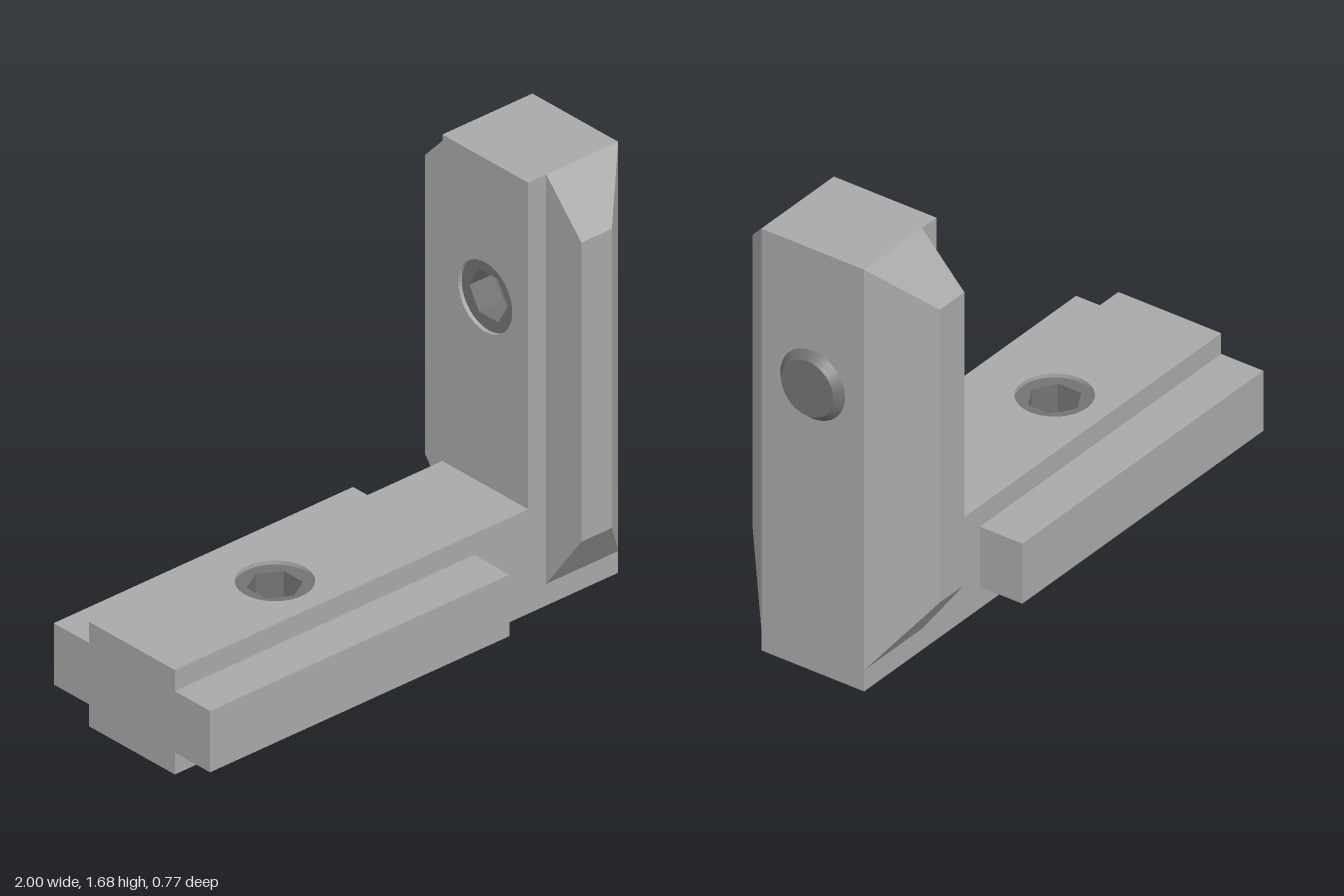
import * as THREE from 'three';
import { mergeGeometries } from 'three/addons/utils/BufferGeometryUtils.js';
import { ConvexGeometry } from 'three/addons/geometries/ConvexGeometry.js';

const HALF = 0.212;   // half depth of the bar
const WIDE = 0.386;   // half depth over the flanges
const HOLE = 0.133;   // screw hole radius

// Flat rectangle with an optional round hole at [x, y]
function rect(x0, x1, y0, y1, hole) {
  const shape = new THREE.Shape([[x0, y0], [x1, y0], [x1, y1], [x0, y1]].map(p => new THREE.Vector2(...p)));
  if (hole) shape.holes.push(new THREE.Path().absarc(hole[0], hole[1], HOLE, 0, Math.PI * 2, true));
  return new THREE.ShapeGeometry(shape, 24);
}
const level = (g, y) => g.rotateX(-Math.PI / 2).translate(0, y, 0);
const upright = (g, x) => g.rotateY(Math.PI / 2).translate(x, 0, 0);

// L-shaped body as a closed skin with screw holes
function bracketGeometry() {
  const outline = [[-1, 0.03], [0.97, 0.03], [0.97, 1.68], [0.57, 1.68], [0.57, 0.43], [-1, 0.43]];
  const side = () => new THREE.ShapeGeometry(new THREE.Shape(outline.map(p => new THREE.Vector2(...p))));
  return mergeGeometries([
    side().translate(0, 0, HALF),
    side().translate(0, 0, -HALF),
    level(rect(-1, 0.57, -HALF, HALF, [-0.365, 0]), 0.43),
    level(rect(-1, 0.97, -HALF, HALF, [-0.365, 0]), 0.03),
    level(rect(0.57, 0.97, -HALF, HALF), 1.68),
    upright(rect(-HALF, HALF, 0.43, 1.68, [0, 1.15]), 0.57),
    upright(rect(-HALF, HALF, 0.03, 1.68, [0, 1.15]), 0.97),
    upright(rect(-HALF, HALF, 0.03, 0.43), -1),
  ]);
}

// Tapered wing beside the upright, s = side
function wingGeometry(s) {
  const points = [];
  for (const x of [0.65, 0.97]) for (const y of [0.113, 1.68]) points.push(new THREE.Vector3(x, y, s * HALF));
  for (const x of [0.65, 0.785]) for (const y of [0.35, 1.495]) points.push(new THREE.Vector3(x, y, s * WIDE));
  return new ConvexGeometry(points);
}

// Set screw along +y: chamfered tip at y = 0, hex socket at the top
function createScrew(material, holeMaterial) {
  const screw = new THREE.Group();
  const add = (name, geometry, y, mat = material) => {
    const mesh = new THREE.Mesh(geometry, mat);
    mesh.name = name;
    mesh.position.y = y;
    screw.add(mesh);
  };
  const flat = g => {
    const f = g.toNonIndexed();
    f.computeVertexNormals();
    return f;
  };
  const top = 0.415, hexR = 0.095, depth = 0.11, point = 0.035;
  add('screwTip', new THREE.CircleGeometry(0.107, 48).rotateX(Math.PI / 2), 0);
  add('screwChamfer', new THREE.CylinderGeometry(HOLE, 0.107, 0.03, 48, 1, true), 0.015);
  add('screwShank', new THREE.CylinderGeometry(HOLE, HOLE, top - 0.03, 48, 1, true), (top + 0.03) / 2);
  add('holeRim', new THREE.CylinderGeometry(HOLE, HOLE, 0.43 - top, 48, 1, true), (top + 0.43) / 2, holeMaterial);

  // Top face with the hexagonal opening
  const face = new THREE.Shape().absarc(0, 0, HOLE, 0, Math.PI * 2);
  const hex = [];
  for (let i = 0; i < 6; i++) {
    const a = Math.PI / 2 - i * Math.PI / 3;
    hex.push(new THREE.Vector2(Math.cos(a) * hexR, Math.sin(a) * hexR));
  }
  face.holes.push(new THREE.Path(hex));
  add('screwTop', new THREE.ShapeGeometry(face, 24).rotateX(-Math.PI / 2), top);
  add('socketWall', flat(new THREE.CylinderGeometry(hexR, hexR, depth, 6, 1, true)), top - depth / 2);
  add('socketFloor', flat(new THREE.CylinderGeometry(hexR, 0, point, 6, 1, true)), top - depth - point / 2);
  return screw;
}

export function createModel() {
  const model = new THREE.Group();
  model.name = 'cornerBracket';
  const metal = new THREE.MeshStandardMaterial({ color: 0xa9a9a9, side: THREE.DoubleSide });
  metal.name = 'light grey metal';
  const steel = new THREE.MeshStandardMaterial({ color: 0x737373, side: THREE.DoubleSide });
  steel.name = 'dark grey steel';

  const add = (name, geometry) => {
    const mesh = new THREE.Mesh(geometry, metal);
    mesh.name = name;
    model.add(mesh);
    return mesh;
  };
  add('bracketBody', bracketGeometry());

  // Mirrored flanges on the base and wings on the upright
  for (const [name, s] of [['front', 1], ['back', -1]]) {
    const flange = add(name + 'Flange', new THREE.BoxGeometry(1.33, 0.235, WIDE - HALF));
    flange.position.set(-0.335, 0.2315, s * (WIDE + HALF) / 2);
    add(name + 'Wing', wingGeometry(s));
  }

  // One screw through each arm
  const baseScrew = createScrew(steel, metal);
  baseScrew.name = 'baseScrew';
  baseScrew.position.x = -0.365;
  const uprightScrew = createScrew(steel, metal);
  uprightScrew.name = 'uprightScrew';
  uprightScrew.rotation.z = Math.PI / 2;
  uprightScrew.position.set(1, 1.15, 0);
  model.add(baseScrew, uprightScrew);
  return model;
}
